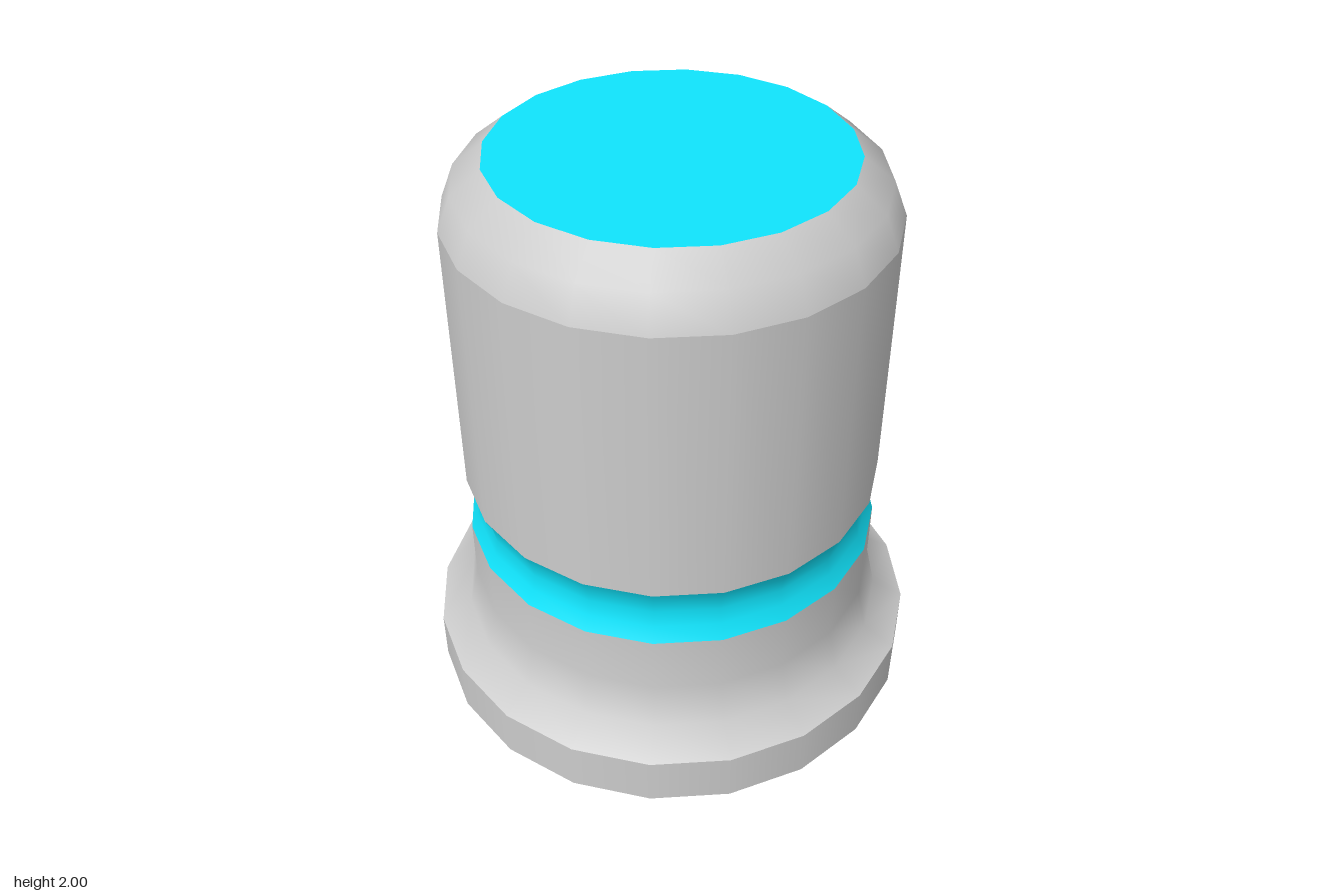
import * as THREE from 'three';

const SIDES = 20;
const grey = new THREE.MeshStandardMaterial({ color: 0xcccccc });
const cyan = new THREE.MeshStandardMaterial({ color: 0x10e4fc });

export function createModel() {
  const group = new THREE.Group();

  // Turned section from [radius, height] pairs, bottom to top
  const turn = (name, profile, material) => {
    const points = profile.map(([r, y]) => new THREE.Vector2(r, y));
    const mesh = new THREE.Mesh(new THREE.LatheGeometry(points, SIDES), material);
    mesh.name = name;
    group.add(mesh);
  };

  // Flat disc closing an end, facing up or down
  const disc = (name, radius, y, up, material) => {
    const mesh = new THREE.Mesh(new THREE.CircleGeometry(radius, SIDES), material);
    mesh.rotation.x = up ? -Math.PI / 2 : Math.PI / 2;
    mesh.position.y = y;
    mesh.name = name;
    group.add(mesh);
  };

  // Base flange and the flared foot rising from it
  disc('baseUnderside', 0.87, 0, false, grey);
  turn('baseRim', [[0.87, 0], [0.87, 0.18]], grey);
  turn('flaredFoot', [[0.87, 0.18], [0.76, 0.245], [0.725, 0.4], [0.725, 0.61]], grey);

  // Coloured concave groove
  turn('grooveBand', [[0.725, 0.61], [0.699, 0.66], [0.688, 0.718], [0.699, 0.775], [0.725, 0.825]], cyan);

  // Main barrel, rounded shoulder and top face
  turn('barrel', [[0.725, 0.825], [0.725, 1.805]], grey);
  turn('shoulder', [[0.725, 1.805], [0.68, 1.92], [0.58, 2]], grey);
  disc('topFace', 0.58, 2, true, cyan);

  return group;
}
